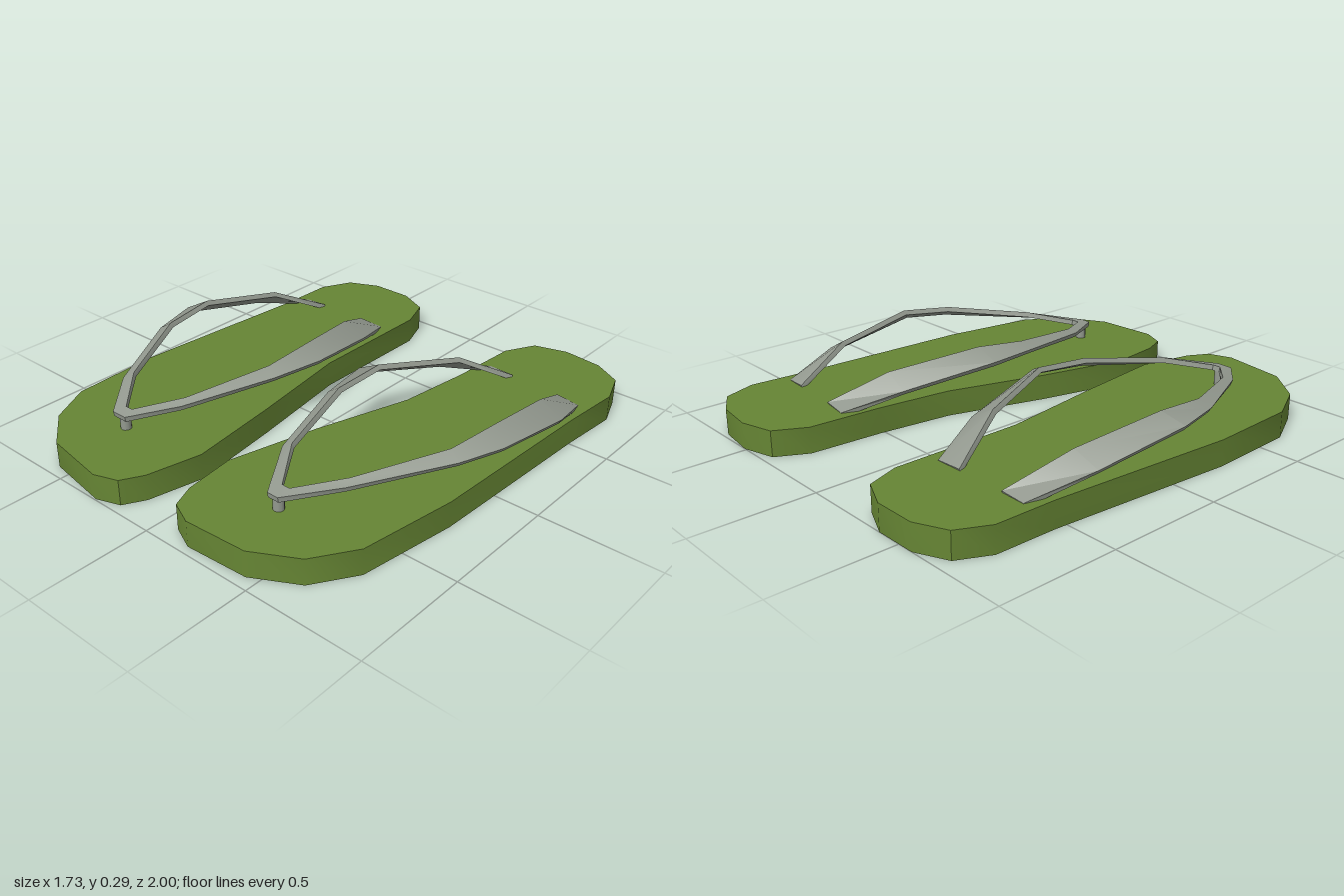
import * as THREE from 'three';
import { toCreasedNormals } from 'three/addons/utils/BufferGeometryUtils.js';

const SOLE_HEIGHT = 0.11;
const STRAP_THICKNESS = 0.022;

// Strap heights at each station, rear to toe to rear
const OUTER_Y = [0.112, 0.18, 0.25, 0.245, 0.212, 0.183, 0.183, 0.212, 0.245, 0.25, 0.18, 0.112];
const INNER_Y = [0.118, 0.235, 0.295, 0.275, 0.227, 0.192, 0.192, 0.227, 0.275, 0.295, 0.235, 0.118];

// Plan outlines as [x, z]
const RIGHT = {
  sole: [[-0.57, -1], [-0.39, -1], [-0.26, -0.94], [-0.21, -0.8], [-0.21, -0.23], [-0.14, 0.24],
    [-0.09, 0.64], [-0.14, 0.87], [-0.19, 0.96], [-0.29, 0.995], [-0.57, 0.95], [-0.73, 0.82],
    [-0.82, 0.64], [-0.835, 0.25], [-0.77, -0.55], [-0.765, -0.81], [-0.7, -0.94]],
  outer: [[-0.72, -0.65], [-0.81, -0.39], [-0.865, -0.01], [-0.81, 0.2], [-0.63, 0.56], [-0.49, 0.73],
    [-0.42, 0.73], [-0.28, 0.56], [-0.125, 0.2], [-0.08, -0.02], [-0.165, -0.41], [-0.265, -0.65]],
  inner: [[-0.61, -0.65], [-0.71, -0.41], [-0.78, -0.05], [-0.765, 0.18], [-0.61, 0.52], [-0.47, 0.68],
    [-0.435, 0.68], [-0.3, 0.52], [-0.175, 0.18], [-0.17, -0.07], [-0.265, -0.39], [-0.385, -0.65]],
  post: [-0.455, 0.7],
};
const LEFT = {
  sole: [[0.37, -0.96], [0.51, -1], [0.68, -0.98], [0.8, -0.91], [0.85, -0.77], [0.83, -0.5],
    [0.8, 0.27], [0.74, 0.68], [0.63, 0.85], [0.45, 0.95], [0.18, 0.965], [0.08, 0.92],
    [0.04, 0.82], [0.015, 0.6], [0.11, 0.22], [0.24, -0.2], [0.28, -0.52], [0.3, -0.83]],
  outer: [[0.335, -0.665], [0.215, -0.445], [0.08, -0.08], [0.11, 0.145], [0.21, 0.51], [0.345, 0.73],
    [0.395, 0.73], [0.56, 0.56], [0.79, 0.22], [0.86, 0.04], [0.855, -0.37], [0.79, -0.62]],
  inner: [[0.455, -0.65], [0.315, -0.445], [0.175, -0.09], [0.155, 0.13], [0.24, 0.49], [0.36, 0.67],
    [0.395, 0.67], [0.545, 0.52], [0.74, 0.2], [0.78, -0.02], [0.755, -0.37], [0.685, -0.63]],
  post: [0.37, 0.7],
};

function soleGeometry(outline) {
  const shape = new THREE.Shape(outline.map(([x, z]) => new THREE.Vector2(x, -z)));
  const geo = new THREE.ExtrudeGeometry(shape, { depth: SOLE_HEIGHT, bevelEnabled: false });
  geo.rotateX(-Math.PI / 2);
  return toCreasedNormals(geo, 0.6);
}

// Band swept through four-cornered sections, thickened along its own normal
function strapGeometry(outer, inner) {
  const n = outer.length;
  const o = outer.map(([x, z], i) => new THREE.Vector3(x, OUTER_Y[i], z));
  const c = inner.map(([x, z], i) => new THREE.Vector3(x, INNER_Y[i], z));
  const positions = [];
  const index = [];
  for (let i = 0; i < n; i++) {
    const a = Math.max(i - 1, 0);
    const b = Math.min(i + 1, n - 1);
    const along = o[b].clone().add(c[b]).sub(o[a]).sub(c[a]);
    const drop = along.cross(c[i].clone().sub(o[i])).setLength(-STRAP_THICKNESS);
    const ring = [o[i], c[i], c[i].clone().add(drop), o[i].clone().add(drop)];
    ring.forEach((p) => positions.push(p.x, p.y, p.z));
    if (i === n - 1) continue;
    for (let k = 0; k < 4; k++) {
      const p = i * 4 + k;
      const q = i * 4 + ((k + 1) % 4);
      index.push(p, p + 4, q, p + 4, q + 4, q);
    }
  }
  const e = (n - 1) * 4;
  index.push(0, 1, 2, 0, 2, 3, e, e + 2, e + 1, e, e + 3, e + 2);
  const geo = new THREE.BufferGeometry();
  geo.setAttribute('position', new THREE.Float32BufferAttribute(positions, 3));
  geo.setIndex(index);
  return toCreasedNormals(geo, 0.4);
}

export function createModel() {
  const soleGreen = new THREE.MeshStandardMaterial({ color: 0x668534 });
  const strapGrey = new THREE.MeshStandardMaterial({ color: 0x949a90 });
  soleGreen.name = 'soleGreen';
  strapGrey.name = 'strapGrey';

  const addMesh = (group, name, geometry, material) => {
    const mesh = new THREE.Mesh(geometry, material);
    mesh.name = name;
    group.add(mesh);
    return mesh;
  };

  const buildSandal = (name, plan) => {
    const sandal = new THREE.Group();
    sandal.name = name;
    addMesh(sandal, 'sole', soleGeometry(plan.sole), soleGreen);
    addMesh(sandal, 'strap', strapGeometry(plan.outer, plan.inner), strapGrey);
    // Toe post between sole and strap
    const post = addMesh(sandal, 'toePost', new THREE.CylinderGeometry(0.022, 0.022, 0.08, 10), strapGrey);
    post.position.set(plan.post[0], 0.14, plan.post[1]);
    return sandal;
  };

  const model = new THREE.Group();
  model.name = 'sandals';
  model.add(buildSandal('rightSandal', RIGHT), buildSandal('leftSandal', LEFT));
  return model;
}
